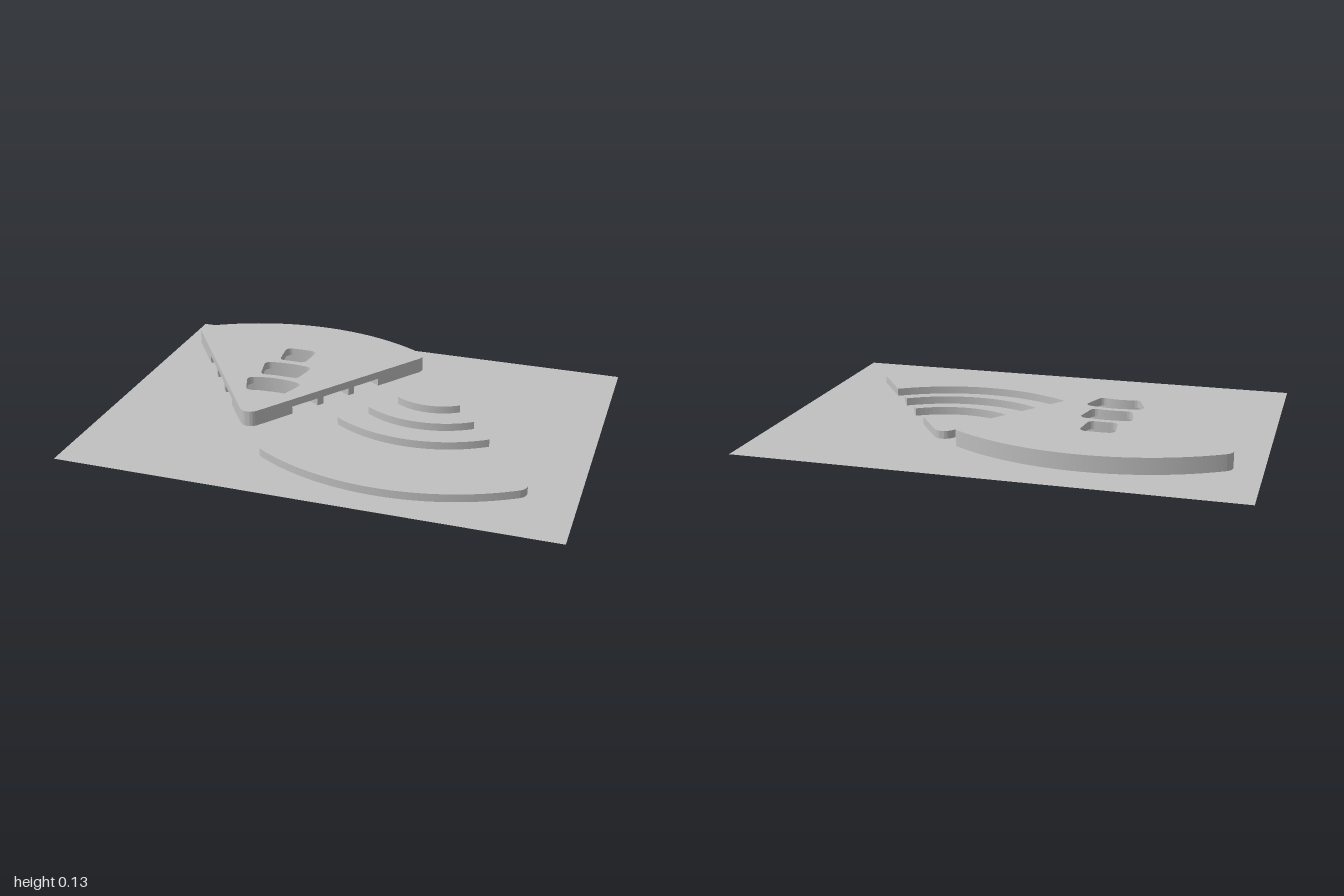
import * as THREE from 'three';
import { toCreasedNormals } from 'three/addons/utils/BufferGeometryUtils.js';

const HALF = THREE.MathUtils.degToRad(35); // half angle of a wedge
const LAYER = 0.0325;                      // each wedge is two layers thick
const R = 0.958;                           // outer radius from the virtual apex
const ROUND = 0.045;
const GROOVES = [[0.235, 0.363], [0.393, 0.523], [0.553, 0.683]];
const HOLE_ANGLES = [20, 12, 6];

// Ring sector about +y with optional rounded inner (f0) and outer (f1) corners
function sector(r0, r1, a, f0 = 0, f1 = 0, Type = THREE.Shape) {
  const s = new Type(), H = Math.PI / 2, P = Math.PI;
  const c1 = r1 - f1, t1 = a - Math.asin(f1 / c1);
  const corner = (c, t, f, from, to) => {
    if (f > 0) s.absarc(c * Math.sin(t), c * Math.cos(t), f, from, to, false);
  };
  corner(c1, t1, f1, -a, H - t1);
  s.absarc(0, 0, r1, H - t1, H + t1, false);
  corner(c1, -t1, f1, H + t1, P + a);
  if (r0 === 0) {
    corner(f0 / Math.sin(a), 0, f0, P + a, 2 * P - a); // rounded tip
  } else {
    const c0 = r0 + f0, t0 = a - Math.asin(f0 / c0);
    corner(c0, -t0, f0, P + a, H + t0 + P);
    s.absarc(0, 0, r0, H + t0, H - t0, true);
    corner(c0, t0, f0, H - t0 + P, 2 * P - a);
  }
  s.closePath();
  return s;
}

function slab(name, shape, y, material) {
  const g = new THREE.ExtrudeGeometry(shape, { depth: LAYER, bevelEnabled: false, curveSegments: 28 });
  g.rotateX(-Math.PI / 2);
  const mesh = new THREE.Mesh(toCreasedNormals(g, 0.6), material);
  mesh.name = name;
  mesh.position.y = y;
  return mesh;
}

// Wedge pointing to -z: a full plate plus a layer of ribs separated by grooves
function wedge(name, plateY, ribY, withHoles, material) {
  const group = new THREE.Group();
  group.name = name;
  const plate = sector(0, R, HALF, ROUND, ROUND);
  if (withHoles) {
    GROOVES.forEach(([r0, r1], i) => plate.holes.push(
      sector(r0, r1, THREE.MathUtils.degToRad(HOLE_ANGLES[i]), 0.025, 0.025, THREE.Path)));
  }
  group.add(slab('plate', plate, plateY, material));
  for (let i = 0; i <= GROOVES.length; i++) {
    const first = i === 0, last = i === GROOVES.length;
    const r0 = first ? 0 : GROOVES[i - 1][1];
    const r1 = last ? R : GROOVES[i][0];
    const label = first ? 'tipBlock' : last ? 'outerBand' : 'arcRib' + i;
    group.add(slab(label, sector(r0, r1, HALF, first ? ROUND : 0, last ? ROUND : 0), ribY, material));
  }
  return group;
}

export function createModel() {
  const model = new THREE.Group();
  model.name = 'wedgePair';
  const grey = new THREE.MeshStandardMaterial({ color: 0xc0c0c0, side: THREE.DoubleSide });
  grey.name = 'grey';

  // Lower wedge: grooves open upward, fan towards the front
  const lower = wedge('lowerWedge', 0, LAYER, false, grey);
  lower.rotation.y = Math.PI;
  lower.position.set(0.277, 0, -0.353);
  model.add(lower);

  // Upper wedge: grooves open downward, holes through the top
  const upper = wedge('upperWedge', 3 * LAYER, 2 * LAYER, true, grey);
  upper.position.set(-0.363, 0, 0.32);
  model.add(upper);

  // Thin sheet level with the groove floors
  const sheet = new THREE.Mesh(new THREE.PlaneGeometry(2, 1.44).rotateX(-Math.PI / 2), grey);
  sheet.name = 'sheet';
  sheet.position.y = LAYER;
  model.add(sheet);
  return model;
}
